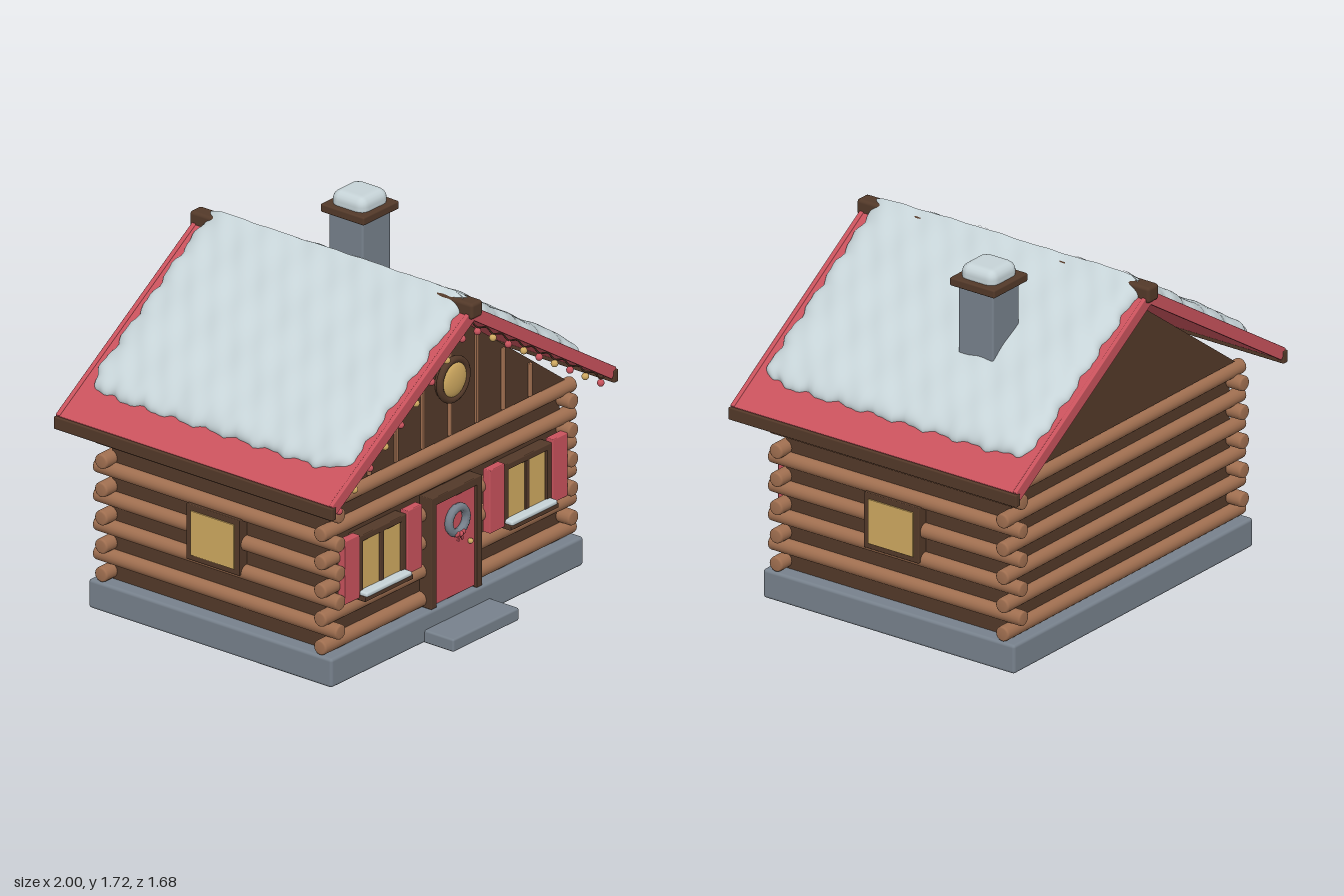
import * as THREE from 'three';
import { RoundedBoxGeometry } from 'three/addons/geometries/RoundedBoxGeometry.js';

const material = (name, color) => Object.assign(new THREE.MeshStandardMaterial({ color }), { name });

export function createModel() {
  const stone = material('stone grey', 0x77818c);
  const wood = material('log brown', 0xa06f50);
  const dark = material('dark brown', 0x533929);
  const red = material('painted red', 0xc8525c);
  const gold = material('window gold', 0xcfa960);
  const snow = material('snow white', 0xc6d3d7);

  const model = new THREE.Group();
  model.name = 'logCabin';

  function add(name, geometry, mat, x = 0, y = 0, z = 0, parent = model) {
    const mesh = new THREE.Mesh(geometry, mat);
    mesh.name = name;
    mesh.position.set(x, y, z);
    parent.add(mesh);
    return mesh;
  }
  // box given by its limits on each axis
  function block(name, mat, [x0, x1], [y0, y1], [z0, z1], parent = model, r = 0.004) {
    const g = new RoundedBoxGeometry(x1 - x0, y1 - y0, z1 - z0, 2, r);
    return add(name, g, mat, (x0 + x1) / 2, (y0 + y1) / 2, (z0 + z1) / 2, parent);
  }
  function group(name, x = 0, y = 0, z = 0, parent = model) {
    const g = new THREE.Group();
    g.name = name;
    g.position.set(x, y, z);
    parent.add(g);
    return g;
  }

  const midZ = -0.025;

  // stone base and doorstep
  block('foundation', stone, [-0.88, 0.88], [0, 0.14], [-0.725, 0.675], model, 0.015);
  block('doorstep', stone, [-0.23, 0.23], [0, 0.062], [0.66, 0.84], model, 0.01);

  // dark wall core behind the interlocking logs
  block('wallCore', dark, [-0.805, 0.805], [0.13, 0.915], [-0.65, 0.6]);
  const logGeometry = (length, r = 0.036) => new THREE.LatheGeometry([
    [0, -length / 2], [r - 0.008, -length / 2], [r - 0.002, -length / 2 + 0.005], [r, -length / 2 + 0.014],
    [r, length / 2 - 0.014], [r - 0.002, length / 2 - 0.005], [r - 0.008, length / 2], [0, length / 2],
  ].map(p => new THREE.Vector2(...p)), 18);
  const longLog = logGeometry(1.76).rotateZ(Math.PI / 2);
  const sideLog = logGeometry(1.405).rotateX(Math.PI / 2);
  for (let i = 0; i < 6; i++) {
    const y = 0.178 + i * 0.137;
    add('frontLog', longLog, wood, 0, y, 0.605);
    add('backLog', longLog, wood, 0, y, -0.655);
    if (i < 5) for (const s of [-1, 1]) add('sideLog', sideLog, wood, s * 0.812, 0.25 + i * 0.141, -0.0275);
  }

  // gable prism with battens on the front
  const gable = new THREE.Shape([[-0.81, 0.91], [0.81, 0.91], [0, 1.51]].map(p => new THREE.Vector2(...p)));
  add('gable', new THREE.ExtrudeGeometry(gable, { depth: 1.3, bevelEnabled: false }), dark, 0, 0, -0.675);
  for (let i = -3; i <= 3; i++) {
    const x = i * 0.187;
    block('gableBatten', wood, [x - 0.01, x + 0.01], [0.915, 1.49 - 0.735 * Math.abs(x)], [0.615, 0.636]);
  }

  // round attic window
  const attic = group('atticWindow', 0, 1.195, 0.64);
  add('roundFrame', new THREE.CylinderGeometry(0.1, 0.1, 0.03, 32).rotateX(Math.PI / 2), dark, 0, 0, 0, attic);
  add('roundRim', new THREE.TorusGeometry(0.095, 0.017, 10, 36), dark, 0, 0, 0.01, attic);
  add('roundGlass', new THREE.SphereGeometry(0.084, 28, 16).scale(1, 1, 0.3), gold, 0, 0, 0.012, attic);

  // roof: each slope is built along +x from the ridge, then turned into place
  const angle = Math.atan2(0.63, 0.99), slope = 1.173;
  function snowBlanket(seed) {
    const g = new THREE.PlaneGeometry(2, 2, 60, 80).rotateX(-Math.PI / 2);
    const p = g.attributes.position;
    const wave = (t, k) => 0.009 * Math.sin(t * 34 + k) + 0.005 * Math.sin(t * 71 + 2 * k);
    for (let i = 0; i < p.count; i++) {
      const u = Math.sin(p.getX(i) * Math.PI / 2), v = Math.sin(p.getZ(i) * Math.PI / 2);
      let s = -0.03 + (u + 1) / 2 * 1.035, z = v * 0.745;
      const low = Math.max(u, 0);
      s += low ** 4 * (wave(z, seed) - 0.04 * v ** 12);
      z += v ** 4 * Math.sign(v) * (wave(s, seed + Math.sign(v)) - 0.03 * low ** 12);
      const edge = Math.sqrt(Math.max(0, (1 - low ** 10) * (1 - Math.abs(v) ** 16)));
      const bumps = 0.003 * Math.sin(s * 19 + z * 8 + seed) + 0.003 * Math.sin(z * 23 - s * 9)
        + 0.002 * Math.sin(z * 47 + s * 31 + seed);
      p.setXYZ(i, s, -0.006 + edge * (0.056 + bumps), z);
    }
    g.computeVertexNormals();
    return g;
  }
  for (const side of [0, 1]) {
    const half = group(side ? 'leftRoofHalf' : 'rightRoofHalf', 0, 1.575, midZ);
    half.rotation.y = side * Math.PI;
    const tilted = group('roofSlope', 0, 0, 0, half);
    tilted.rotation.z = -angle;
    block('roofPanel', red, [0, slope], [-0.05, 0], [-0.79, 0.79], tilted);
    for (const e of [-1, 1])
      block('rakeBoard', red, [0, slope], [-0.053, 0.005], [e * 0.786 - 0.011, e * 0.786 + 0.011], tilted);
    add('roofSnow', snowBlanket(side * 2.3 + 0.7), snow, 0, 0, 0, tilted);
    block('eaveBoard', dark, [0.968, 1], [-0.695, -0.635], [-0.802, 0.802], half, 0.006);
  }
  block('ridgeBeam', dark, [-0.04, 0.04], [1.53, 1.608], [-0.838, 0.79], model, 0.016);

  // chimney
  block('chimneyStack', stone, [0.335, 0.53], [1.15, 1.63], [-0.343, -0.147], model, 0.01);
  block('chimneyCap', dark, [0.308, 0.557], [1.615, 1.655], [-0.37, -0.12], model, 0.008);
  block('chimneySnow', snow, [0.335, 0.53], [1.62, 1.722], [-0.343, -0.147], model, 0.045);

  // front door
  const door = group('door');
  for (const s of [-1, 1])
    block('doorPost', dark, [s * 0.158 - 0.019, s * 0.158 + 0.019], [0.14, 0.675], [0.59, 0.67], door);
  block('doorLintel', dark, [-0.177, 0.177], [0.637, 0.677], [0.59, 0.67], door);
  block('doorBacking', dark, [-0.16, 0.16], [0.14, 0.65], [0.59, 0.645], door);
  block('doorPanel', red, [-0.139, 0.139], [0.15, 0.635], [0.6, 0.659], door);
  add('doorKnob', new THREE.SphereGeometry(0.013, 14, 10), gold, 0.1, 0.382, 0.667, door);
  const wreath = group('wreath', 0, 0.52, 0.675, door);
  add('wreathRing', new THREE.TorusGeometry(0.061, 0.02, 8, 14), stone, 0, 0, 0, wreath);
  add('bowKnot', new THREE.SphereGeometry(0.013, 12, 8), red, 0, -0.062, 0.018, wreath);
  for (const s of [-1, 1]) {
    add('bowLoop', new THREE.SphereGeometry(0.016, 12, 8).scale(1.1, 0.8, 0.6), red, s * 0.02, -0.06, 0.015, wreath);
    add('bowTail', new THREE.BoxGeometry(0.012, 0.03, 0.008), red, s * 0.011, -0.08, 0.015, wreath).rotation.z = s * 0.4;
  }

  // front windows with shutters and snowy sills
  for (const s of [-1, 1]) {
    const win = group(s < 0 ? 'rightFrontWindow' : 'leftFrontWindow', s * 0.507, 0, 0);
    block('windowFrame', dark, [-0.165, 0.165], [0.37, 0.662], [0.59, 0.65], win);
    block('windowHead', dark, [-0.165, 0.165], [0.632, 0.662], [0.6, 0.662], win);
    for (const e of [-1, 1]) {
      block('windowPane', gold, [e * 0.073 - 0.056, e * 0.073 + 0.056], [0.395, 0.634], [0.646, 0.655], win, 0.002);
      block('windowJamb', dark, [e * 0.15 - 0.016, e * 0.15 + 0.016], [0.37, 0.662], [0.6, 0.662], win);
      block('shutter', red, [e * 0.219 - 0.052, e * 0.219 + 0.052], [0.368, 0.675], [0.625, 0.667], win);
    }
    block('mullion', dark, [-0.014, 0.014], [0.39, 0.64], [0.6, 0.66], win);
    block('windowSill', dark, [-0.168, 0.168], [0.356, 0.379], [0.6, 0.7], win);
    block('sillSnow', snow, [-0.16, 0.16], [0.374, 0.398], [0.65, 0.703], win, 0.01);
  }

  // side windows
  for (const s of [-1, 1]) {
    const win = group(s < 0 ? 'rightSideWindow' : 'leftSideWindow', s * 0.83, 0.52, -0.025);
    block('sideFrame', dark, [-0.03, 0.03], [-0.135, 0.135], [-0.153, 0.153], win);
    block('sideGlass', gold, [s * 0.032 - 0.004, s * 0.032 + 0.004], [-0.108, 0.108], [-0.125, 0.125], win, 0.002);
  }

  // string of lights along the front roof edges
  const lights = group('stringLights', 0, 0, 0.745);
  const bulb = new THREE.SphereGeometry(0.017, 14, 10);
  for (const s of [-1, 1]) {
    const path = [];
    for (let k = 0; k <= 8; k++) {
      const x = 0.053 + 0.1075 * k, y = 1.47 - 0.632 * x;
      add('lightBulb', bulb, k % 2 ? gold : red, s * x, y, 0, lights);
      path.push(new THREE.Vector3(s * (x - 0.045), y + 0.066, 0), new THREE.Vector3(s * x, y + 0.02, 0));
    }
    path.push(new THREE.Vector3(s * 0.97, 0.925, 0));
    add('lightWire', new THREE.TubeGeometry(new THREE.CatmullRomCurve3(path), 120, 0.004, 6), dark, 0, 0, 0, lights);
  }
  return model;
}
